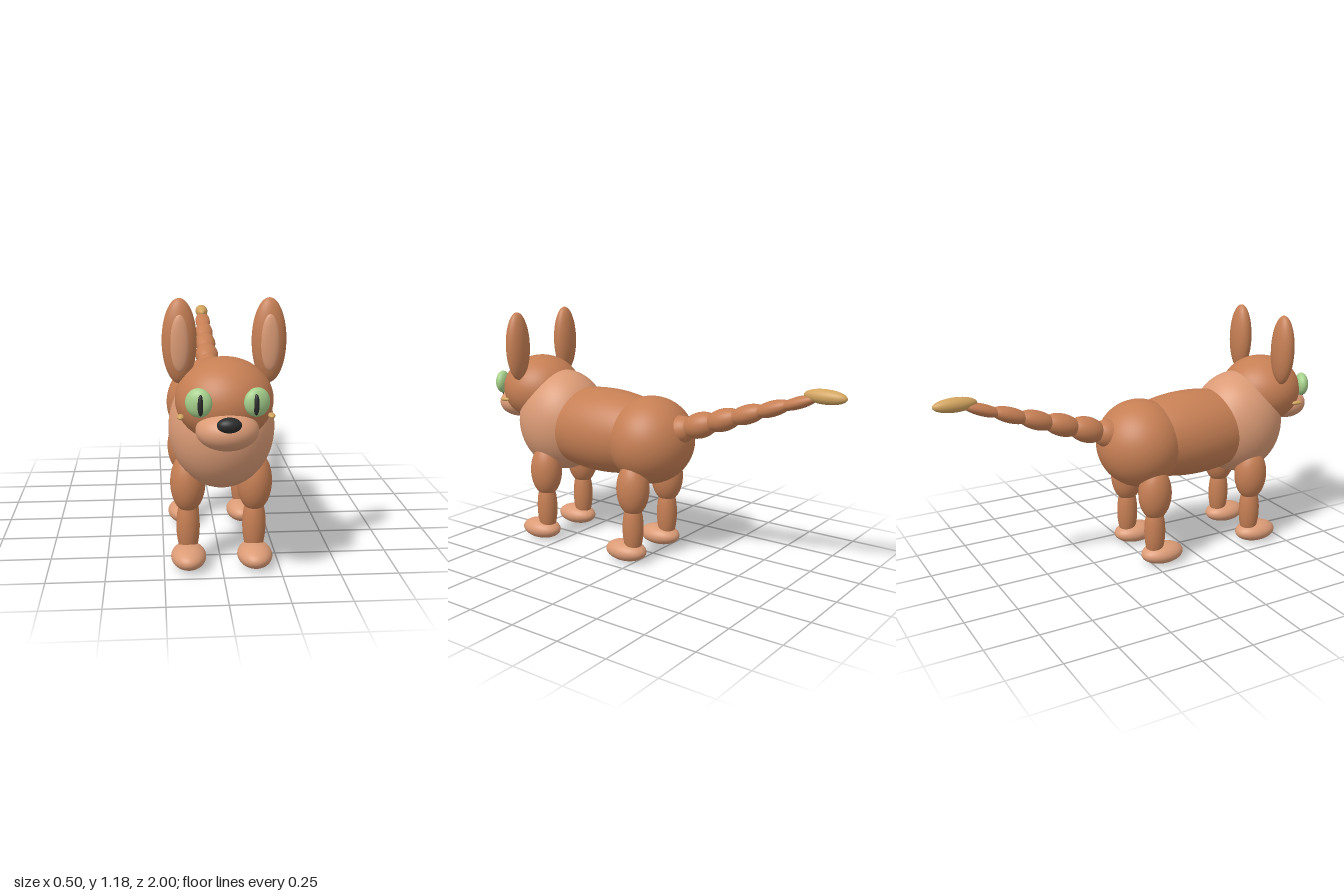
import * as THREE from 'three';

const material = (name, color) => {
  const m = new THREE.MeshStandardMaterial({ color });
  m.name = name;
  return m;
};

export function createModel() {
  const fur = material('brown fur', 0xc67f54);
  const pale = material('pale fur', 0xdb9b76);
  const gold = material('golden fur', 0xd2a45f);
  const green = material('eye green', 0xa6d08c);
  const dark = material('nose and pupil black', 0x2a2a2a);

  const model = new THREE.Group();
  model.name = 'animal';
  const ball = new THREE.SphereGeometry(1, 48, 32);

  // Every part is a stretched ball: centre, radii, optional parent
  function blob(name, mat, position, radii, parent = model) {
    const mesh = new THREE.Mesh(ball, mat);
    mesh.name = name;
    mesh.position.set(...position);
    mesh.scale.set(...radii);
    parent.add(mesh);
    return mesh;
  }

  // Body
  blob('hips', fur, [0, 0.595, 0.01], [0.222, 0.215, 0.213]);
  blob('torso', fur, [0, 0.607, 0.29], [0.213, 0.212, 0.44]);
  blob('chest', pale, [0, 0.623, 0.577], [0.225, 0.262, 0.233]);

  // Head, muzzle and nose
  blob('head', fur, [0, 0.777, 0.722], [0.2, 0.172, 0.2]);
  blob('muzzle', pale, [0, 0.686, 0.87], [0.125, 0.08, 0.113]);
  blob('nose', dark, [0, 0.731, 0.967], [0.048, 0.03, 0.033]);

  for (const side of [-1, 1]) {
    const label = side > 0 ? 'left' : 'right';

    // Eye turned slightly outward, with a slit pupil
    const eye = new THREE.Group();
    eye.name = label + 'Eye';
    eye.position.set(side * 0.113, 0.804, 0.898);
    eye.rotation.y = side * 0.35;
    model.add(eye);
    blob('eyeball', green, [0, 0, 0], [0.054, 0.058, 0.033], eye);
    blob('pupil', dark, [-side * 0.015, -0.004, 0.024], [0.012, 0.042, 0.014], eye);

    // Cheek spot
    blob(label + 'Cheek', gold, [side * 0.181, 0.73, 0.822], [0.014, 0.01, 0.029]);

    // Ear with pale inside
    blob(label + 'Ear', fur, [side * 0.18, 1.014, 0.714], [0.07, 0.172, 0.049]);
    blob(label + 'InnerEar', pale, [side * 0.18, 1.01, 0.751], [0.038, 0.114, 0.017]);

    // Front and back legs
    for (const [end, z] of [['Front', 0.577], ['Back', 0.015]]) {
      const leg = new THREE.Group();
      leg.name = label + end + 'Leg';
      leg.position.set(side * 0.144, 0, z);
      model.add(leg);
      blob('upperLeg', fur, [0, 0.378, 0], [0.076, 0.135, 0.083], leg);
      blob('lowerLeg', fur, [0, 0.18, 0], [0.051, 0.15, 0.052], leg);
      blob('paw', pale, [0, 0.056, 0.043], [0.076, 0.051, 0.111], leg);
    }
  }

  // Tail: tapering overlapping segments rising to the back
  for (let i = 0; i < 6; i++) {
    const segment = blob('tailSegment' + (i + 1), fur,
      [0, 0.664 + i * 0.042, -0.15 - i * 0.125],
      [0.073 - i * 0.0065, 0.07 - i * 0.0085, 0.096]);
    segment.rotation.x = 0.35;
  }
  blob('tailTip', gold, [0, 0.915, -0.9], [0.034, 0.033, 0.1]);

  return model;
}
